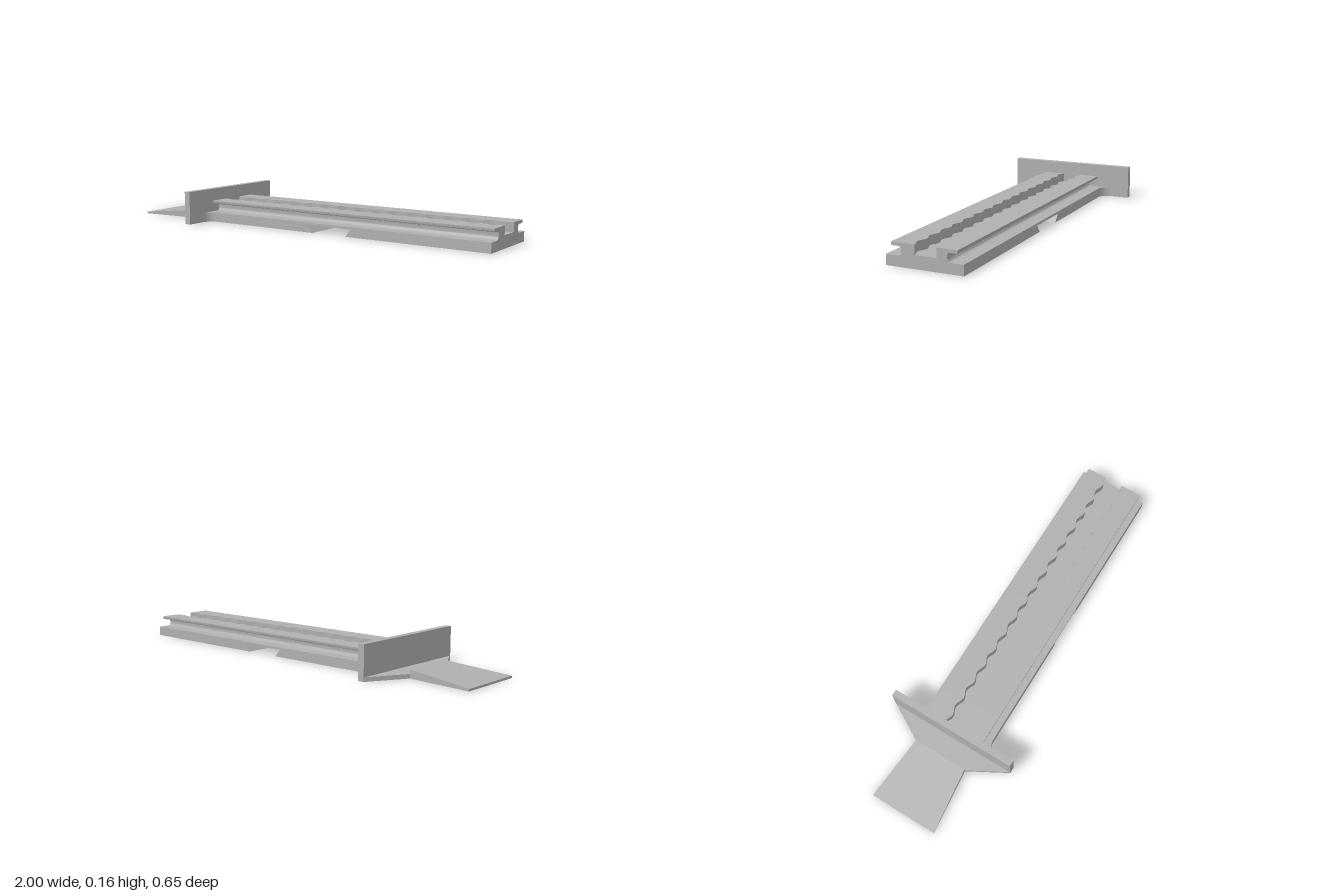
import * as THREE from 'three';
import { toCreasedNormals } from 'three/addons/utils/BufferGeometryUtils.js';

const GUARD_BACK = -0.577, GUARD_FRONT = -0.545, END = 1;
const BASE_HALF = 0.178, BASE_TOP = 0.047;

// Extrude a plan outline of [x, z] points upwards from y = 0
function plan(points, height) {
  const shape = new THREE.Shape(points.map(([x, z]) => new THREE.Vector2(x, z)));
  return new THREE.ExtrudeGeometry(shape, { depth: height, bevelEnabled: false })
    .rotateX(Math.PI / 2).translate(0, height, 0);
}

// Points on an arc, used to round the rail profile
function arc(cx, cy, r, from, to, steps = 6) {
  return Array.from({ length: steps + 1 }, (_, i) => {
    const a = from + (to - from) * i / steps;
    return [cx + r * Math.cos(a), cy + r * Math.sin(a)];
  });
}

// Rail section as a counter-clockwise loop of [-z, y], with the groove shifted sideways
function railSection(shift) {
  const P = Math.PI, y0 = BASE_TOP, yTop = 0.102, floor = 0.059;
  const side = [
    ...arc(0.12, y0 + 0.015, 0.015, 1.5 * P, P),
    ...arc(0.115, 0.077, 0.01, P, P / 2),
    ...arc(0.146, 0.093, 0.006, 1.5 * P, 2 * P, 4),
    [0.152, yTop],
  ];
  const mirrored = side.map(([u, y]) => [-u, y]).reverse();
  return [
    ...side,
    [0.05 - shift, yTop], [0.05 - shift, floor],
    [-0.05 - shift, floor], [-0.05 - shift, yTop],
    ...mirrored,
  ];
}

// Join the sections along x into a closed solid
function railGeometry() {
  const teeth = 16, perTooth = 8, count = teeth * perTooth;
  const rings = [];
  for (let k = 0; k <= count; k++) {
    const x = GUARD_FRONT + (END - GUARD_FRONT) * k / count;
    const shift = -0.008 * Math.cos((k / perTooth) * Math.PI * 2);
    rings.push(railSection(shift).map(([u, y]) => [x, y, -u]));
  }
  const n = rings[0].length, index = [];
  for (let k = 0; k < count; k++) {
    for (let i = 0; i < n; i++) {
      const j = (i + 1) % n, a = k * n, b = a + n;
      index.push(a + i, a + j, b + j, a + i, b + j, b + i);
    }
  }
  const contour = railSection(-0.008).map(([u, y]) => new THREE.Vector2(u, y));
  for (const [a, b, c] of THREE.ShapeUtils.triangulateShape(contour, [])) {
    index.push(count * n + a, count * n + b, count * n + c, c, b, a);
  }
  const geo = new THREE.BufferGeometry();
  geo.setAttribute('position', new THREE.Float32BufferAttribute(rings.flat(2), 3));
  geo.setIndex(index);
  return toCreasedNormals(geo, 0.6);
}

export function createModel() {
  const group = new THREE.Group();
  const grey = new THREE.MeshStandardMaterial({ color: 0xb0b0b0 });
  grey.name = 'plain grey';
  const add = (name, geometry) => {
    const mesh = new THREE.Mesh(geometry, grey);
    mesh.name = name;
    group.add(mesh);
  };

  // Base strip with a dovetail notch across its underside
  const baseShape = new THREE.Shape([
    [GUARD_FRONT, 0], [0.098, 0], [0.067, 0.036], [0.31, 0.036], [0.28, 0],
    [END, 0], [END, BASE_TOP], [GUARD_FRONT, BASE_TOP],
  ].map(([x, y]) => new THREE.Vector2(x, y)));
  add('base', new THREE.ExtrudeGeometry(baseShape, { depth: BASE_HALF * 2, bevelEnabled: false })
    .translate(0, 0, -BASE_HALF));

  // Upper rail with flanges and the wavy groove
  add('groovedRail', railGeometry());

  // Upright guard plate
  add('guard', new THREE.BoxGeometry(GUARD_FRONT - GUARD_BACK, 0.163, 0.65)
    .translate((GUARD_FRONT + GUARD_BACK) / 2, 0.0815, 0));

  // Rounded corners between base and guard
  for (const [name, s] of [['leftFillet', 1], ['rightFillet', -1]]) {
    const r = 0.052;
    const curve = arc(GUARD_FRONT + r, BASE_HALF + r, r, Math.PI, Math.PI * 1.5, 10);
    const outline = [[GUARD_FRONT, BASE_HALF], ...curve].map(([x, z]) => [x, z * s]);
    add(name, toCreasedNormals(plan(outline, BASE_TOP), 0.6));
  }

  // Thin tapered plate behind the guard
  add('taperedPlate', plan([
    [-0.68, -0.137], [GUARD_BACK, -0.322], [GUARD_BACK, 0.322], [-0.68, 0.137],
  ], 0.02));

  // Wedge-shaped tail, thinning towards its end
  const tail = plan([[-1, -0.17], [-0.68, -0.137], [-0.68, 0.137], [-1, 0.17]], 1);
  const pos = tail.attributes.position;
  for (let i = 0; i < pos.count; i++) {
    const height = 0.01 + 0.03 * (pos.getX(i) + 1) / 0.32;
    pos.setY(i, pos.getY(i) * height);
  }
  tail.computeVertexNormals();
  add('wedgeTail', tail);

  return group;
}
